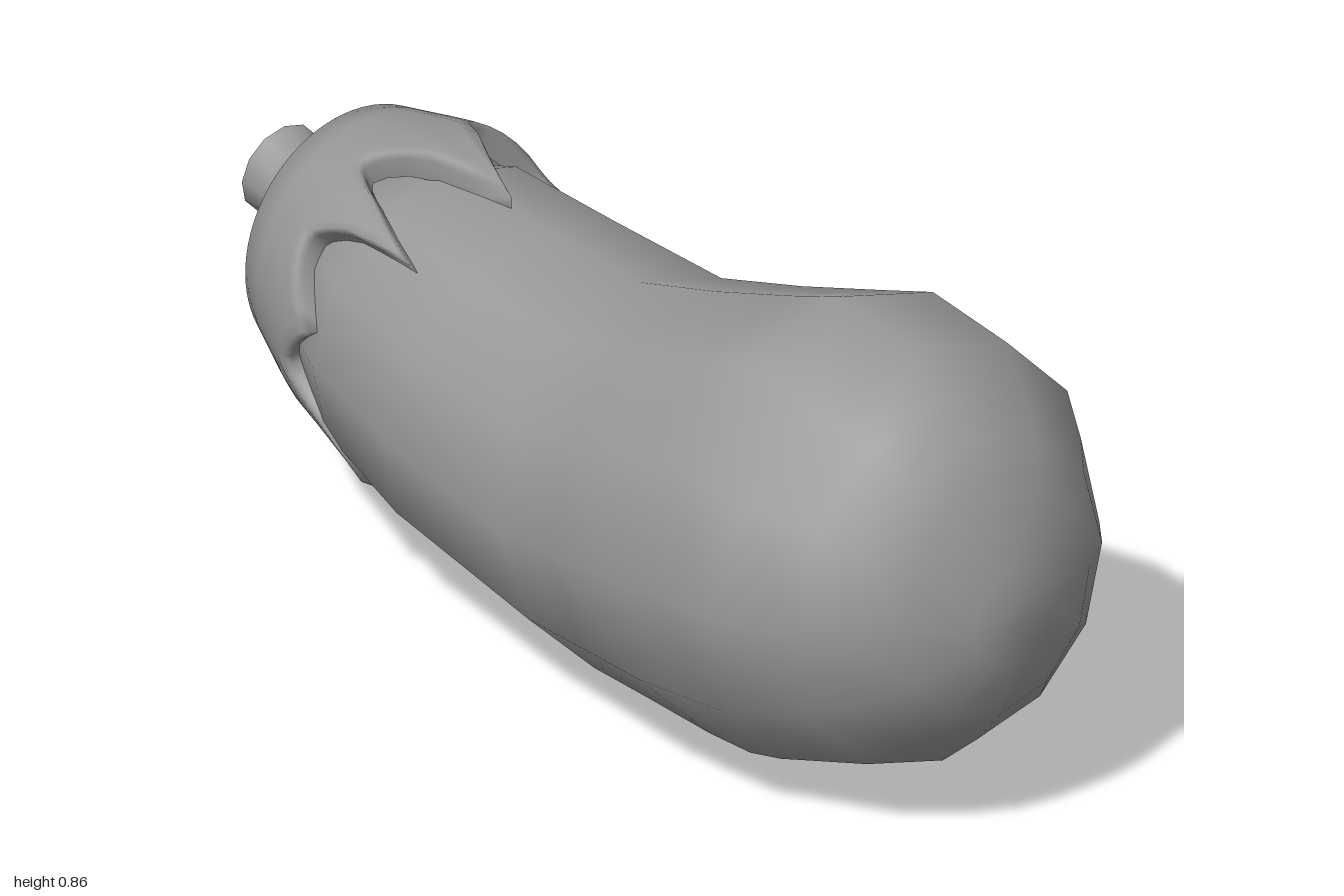
import * as THREE from 'three';

const material = new THREE.MeshStandardMaterial({ color: 0x999999, side: THREE.DoubleSide });

// Closed tube of rows x n points; rows run from the front to the back.
function tube(name, rows, n, point) {
  const pos = [], index = [];
  for (let i = 0; i < rows; i++) {
    for (let j = 0; j < n; j++) {
      pos.push(...point(i, j));
      if (i === rows - 1) continue;
      const a = i * n + j, b = i * n + (j + 1) % n;
      index.push(a, a + n, b, b, a + n, b + n);
    }
  }
  const geo = new THREE.BufferGeometry();
  geo.setAttribute('position', new THREE.Float32BufferAttribute(pos, 3));
  geo.setIndex(index);
  geo.computeVertexNormals();
  const mesh = new THREE.Mesh(geo, material);
  mesh.name = name;
  return mesh;
}

// Tilted elliptical rings: [top z, top y, bottom z, bottom y, half width, centre x]
function loft(name, rings, n) {
  return tube(name, rings.length, n, (i, j) => {
    const [tz, ty, bz, by, rx, cx = 0] = rings[i];
    const a = j / n * Math.PI * 2, s = Math.sin(a) / 2;
    return [cx + rx * Math.cos(a), (ty + by) / 2 + (ty - by) * s, (tz + bz) / 2 + (tz - bz) * s];
  });
}

// Calyx surface: [z, centre x, centre y, radius]
const calyxProfile = [
  [-0.90, 0.025, 0.485, 0.06], [-0.865, 0.025, 0.445, 0.137], [-0.80, 0.03, 0.445, 0.232],
  [-0.65, 0.02, 0.43, 0.283], [-0.53, 0.018, 0.425, 0.31], [-0.34, 0, 0.385, 0.332],
];

function calyxAt(z) {
  let k = 0;
  while (k < calyxProfile.length - 2 && z > calyxProfile[k + 1][0]) k++;
  const p = calyxProfile[k], q = calyxProfile[k + 1];
  const t = THREE.MathUtils.clamp((z - p[0]) / (q[0] - p[0]), 0, 1);
  return p.map((v, m) => v + (q[m] - v) * t);
}

// Rim of the calyx: [angle in degrees, z] at the leaf tips and the valleys
const rim = [
  [2, -0.37], [27, -0.60], [63, -0.615], [90, -0.34], [114, -0.61], [130, -0.36], [146, -0.61],
  [173, -0.53], [193, -0.61], [215, -0.40], [238, -0.63], [260, -0.48], [289, -0.70],
  [313, -0.44], [338, -0.66],
];

function calyx() {
  const steps = 5, columns = [];
  rim.forEach(([a0, z0], k) => {
    const [a1, z1] = k + 1 < rim.length ? rim[k + 1] : [rim[0][0] + 360, rim[0][1]];
    for (let s = 0; s < steps; s++) {
      const t = s / steps;
      // leaf tips are narrow, valleys are wide
      const rise = Math.pow(z0 > z1 ? 1 - t : t, 1.8);
      columns.push([THREE.MathUtils.degToRad(a0 + (a1 - a0) * t),
        Math.min(z0, z1) + Math.abs(z0 - z1) * rise]);
    }
  });
  const back = [-0.74, -0.80, -0.865, -0.90];
  // [way to the rim, drop]: the rim rolls inward to the fruit
  const lip = [[1, 0.05], [1, 0.012], [0.93, 0], [0.75, 0], [0.5, 0], [0.25, 0]];
  return tube('calyx', lip.length + back.length, columns.length, (i, j) => {
    const [a, edge] = columns[j];
    const [along, drop] = lip[i] ?? [0, 0];
    const z = i < lip.length ? back[0] + (edge - back[0]) * along : back[i - lip.length];
    const [, cx, cy, r] = calyxAt(z);
    return [cx + (r - drop) * Math.cos(a), cy + (r - drop) * Math.sin(a), z];
  });
}

export function createModel() {
  const group = new THREE.Group();
  group.name = 'eggplant';

  // Curved fruit, rounded at the front and narrowing to the back
  group.add(loft('fruit', [
    [1, 0.44, 1, 0.44, 0],
    [0.997, 0.525, 0.997, 0.35, 0.085],
    [0.945, 0.672, 0.965, 0.25, 0.2],
    [0.89, 0.738, 0.90, 0.175, 0.275],
    [0.83, 0.795, 0.81, 0.10, 0.33],
    [0.74, 0.845, 0.62, 0.042, 0.404],
    [0.53, 0.863, 0.55, 0.02, 0.408],
    [0.40, 0.813, 0.44, 0.015, 0.404],
    [0.20, 0.742, 0.25, 0.008, 0.373],
    [0, 0.68, 0.10, 0, 0.345],
    [-0.25, 0.68, -0.32, 0.06, 0.322],
    [-0.50, 0.69, -0.54, 0.125, 0.285],
    [-0.72, 0.62, -0.72, 0.22, 0.2],
    [-0.82, 0.44, -0.82, 0.44, 0],
  ], 12));

  group.add(calyx());

  // Short stem with a slanted cut; the doubled ring keeps the cut edge sharp
  const cut = [-0.978, 0.577, -1, 0.412, 0.083, 0.027];
  group.add(loft('stem', [
    [-0.84, 0.58, -0.86, 0.38, 0.1, 0.025],
    [-0.89, 0.56, -0.90, 0.405, 0.08, 0.025],
    [-0.93, 0.557, -0.94, 0.415, 0.076, 0.025],
    cut, cut,
    [-0.989, 0.4945, -0.989, 0.4945, 0, 0.027],
  ], 12));

  return group;
}
